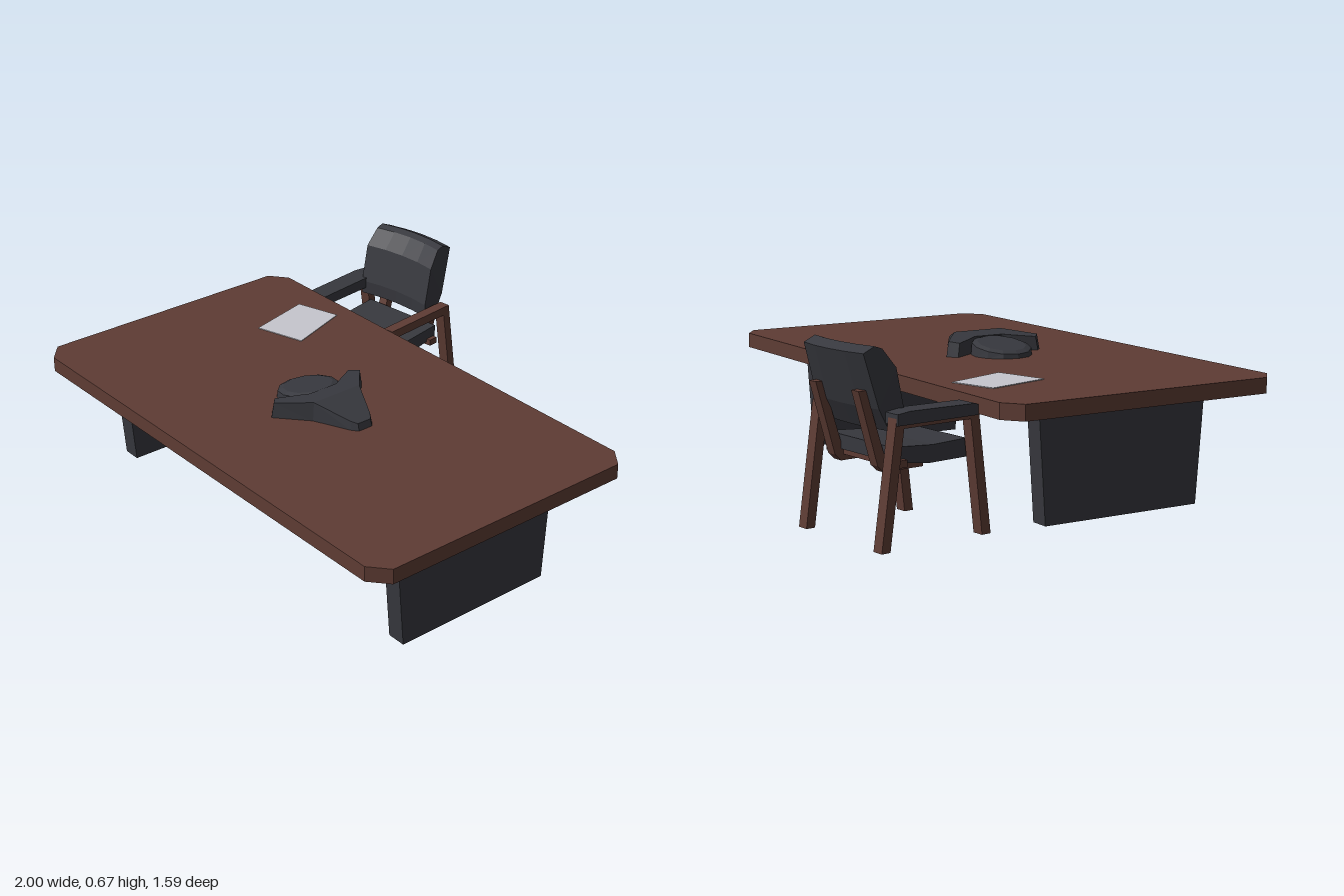
import * as THREE from 'three';

const wood = new THREE.MeshStandardMaterial({ color: 0x5e3c34 });
wood.name = 'brown wood';
const dark = new THREE.MeshStandardMaterial({ color: 0x37383e });
dark.name = 'charcoal';
const white = new THREE.MeshStandardMaterial({ color: 0xc6c6ce });
white.name = 'paper white';

const outline = (pts) => new THREE.Shape(pts.map(([a, b]) => new THREE.Vector2(a, b)));

// Side profile in (z, y), extruded across x and centred on x = 0
function sideExtrude(pts, width, steps = 1) {
  const g = new THREE.ExtrudeGeometry(outline(pts), { depth: width, bevelEnabled: false, steps });
  return g.translate(0, 0, -width / 2).rotateY(-Math.PI / 2);
}

// Plan outline in (x, z), extruded between two heights
function planExtrude(pts, y0, y1) {
  const g = new THREE.ExtrudeGeometry(outline(pts), { depth: y1 - y0, bevelEnabled: false });
  return g.rotateX(Math.PI / 2).translate(0, y1, 0);
}

// Move every vertex by a rule, then refresh the flat normals
function reshape(geometry, rule) {
  const g = geometry.index ? geometry.toNonIndexed() : geometry;
  const p = g.attributes.position;
  const v = new THREE.Vector3();
  for (let i = 0; i < p.count; i++) {
    rule(v.fromBufferAttribute(p, i));
    p.setXYZ(i, v.x, v.y, v.z);
  }
  g.computeVertexNormals();
  return g;
}

function add(parent, name, geometry, material, x = 0, y = 0, z = 0) {
  const mesh = new THREE.Mesh(geometry, material);
  mesh.name = name;
  mesh.position.set(x, y, z);
  parent.add(mesh);
  return mesh;
}

function makeTable() {
  const table = new THREE.Group();
  table.name = 'table';
  // Top with clipped corners
  add(table, 'tableTop', planExtrude([
    [-0.93, -0.33], [0.93, -0.33], [1, -0.275], [1, 0.74],
    [0.93, 0.8], [-0.93, 0.8], [-1, 0.74], [-1, -0.275],
  ], 0.415, 0.472), wood);
  // Tapered panel legs
  const panel = [[-0.085, 0.01], [0.56, 0.01], [0.59, 0.416], [-0.115, 0.416]];
  for (const s of [-1, 1]) {
    add(table, s < 0 ? 'rightPanelLeg' : 'leftPanelLeg', sideExtrude(panel, 0.072), dark, s * 0.807);
  }
  return table;
}

function makePhone() {
  const phone = new THREE.Group();
  phone.name = 'conferencePhone';
  const base = 0.47;
  // The top slopes down either way from the ridge at x = 0.09
  const topHeight = (x) => (x > 0.09 ? 0.075 - (x - 0.09) * 0.3 : 0.075 - (0.09 - x) * 0.14);
  const slope = (v) => {
    if (v.y < base + 0.01) return;
    if (Math.abs(v.x - 0.09) > 0.001) v.x += (0.05 - v.x) * 0.04;
    v.z += (0.235 - v.z) * 0.05;
    v.y = base + topHeight(v.x);
  };
  add(phone, 'phoneFrontArm', reshape(planExtrude([
    [0.09, 0.125], [0.23, 0.187], [0.253, 0.205], [0.253, 0.265], [0.23, 0.283], [0.09, 0.345],
  ], base, base + 0.05), slope), dark);
  add(phone, 'phoneSideArms', reshape(planExtrude([
    [0.09, 0.125], [-0.025, 0.025], [-0.06, 0.055], [-0.01, 0.14], [0.01, 0.17], [0.01, 0.3],
    [-0.01, 0.33], [-0.06, 0.415], [-0.025, 0.445], [0.09, 0.345],
  ], base, base + 0.05), slope), dark);
  // Tilted round keypad with a chamfered rim
  const tilt = (v) => { if (v.y > 0.001) v.y += (v.x + 0.11) * 0.18; };
  const rim = new THREE.CylinderGeometry(0.112, 0.115, 0.018, 12).translate(0, 0.009, 0);
  const pad = new THREE.CylinderGeometry(0.092, 0.112, 0.008, 12).translate(0, 0.022, 0);
  add(phone, 'keypadRim', reshape(rim, tilt), dark, -0.08, base, 0.235);
  add(phone, 'keypadTop', reshape(pad, tilt), dark, -0.08, base, 0.235);
  return phone;
}

function makeChair() {
  const chair = new THREE.Group();
  chair.name = 'chair';
  // Side frames: two splayed legs joined by an armrest
  const frame = [
    [0.242, 0], [0.188, 0.435], [-0.15, 0.435], [-0.212, 0],
    [-0.177, 0], [-0.12, 0.4], [0.156, 0.4], [0.205, 0],
  ];
  // Bracket under the seat that turns up behind the backrest
  const bracket = [
    [0.03, 0.242], [0.03, 0.265], [-0.12, 0.275], [-0.2, 0.52],
    [-0.23, 0.52], [-0.155, 0.265], [-0.13, 0.242],
  ];
  for (const s of [-1, 1]) {
    const side = s < 0 ? 'right' : 'left';
    add(chair, side + 'SideFrame', sideExtrude(frame, 0.045), wood, s * 0.214);
    add(chair, side + 'BackBracket', sideExtrude(bracket, 0.04), wood, s * 0.12);
  }
  // Rail joining the side frames beneath the seat
  add(chair, 'seatRail', new THREE.BoxGeometry(0.4, 0.025, 0.04), wood, 0, 0.275, -0.1);
  // Cushioned arm on one side only
  add(chair, 'armPad', sideExtrude([
    [0.195, 0.412], [0.2, 0.44], [0.17, 0.452], [-0.1, 0.456], [-0.15, 0.45], [-0.15, 0.412],
  ], 0.085), dark, -0.2);
  add(chair, 'seat', sideExtrude([
    [0.225, 0.262], [0.222, 0.312], [0.18, 0.325], [0.04, 0.32],
    [-0.13, 0.332], [-0.13, 0.282], [0.02, 0.26],
  ], 0.362), dark);
  // Backrest, curved around the sitter and narrowing at the top
  const back = sideExtrude([
    [-0.095, 0.385], [-0.092, 0.44], [-0.125, 0.59], [-0.175, 0.655], [-0.205, 0.665],
    [-0.25, 0.645], [-0.195, 0.46], [-0.155, 0.385],
  ], 0.352, 4);
  add(chair, 'backrest', reshape(back, (v) => {
    v.z += 0.02 * (v.x / 0.176) ** 2;
    if (v.y > 0.62) v.x *= 0.95;
  }), dark);
  chair.position.set(-0.585, 0, -0.54);
  chair.rotation.y = 0.12;
  return chair;
}

export function createModel() {
  const model = new THREE.Group();
  model.name = 'meetingTableSet';
  model.add(makeTable(), makePhone(), makeChair());
  // Loose sheet on the table
  add(model, 'paperSheet', planExtrude(
    [[-0.7, -0.205], [-0.525, -0.26], [-0.435, -0.01], [-0.632, 0.05]], 0.472, 0.475), white);
  return model;
}
